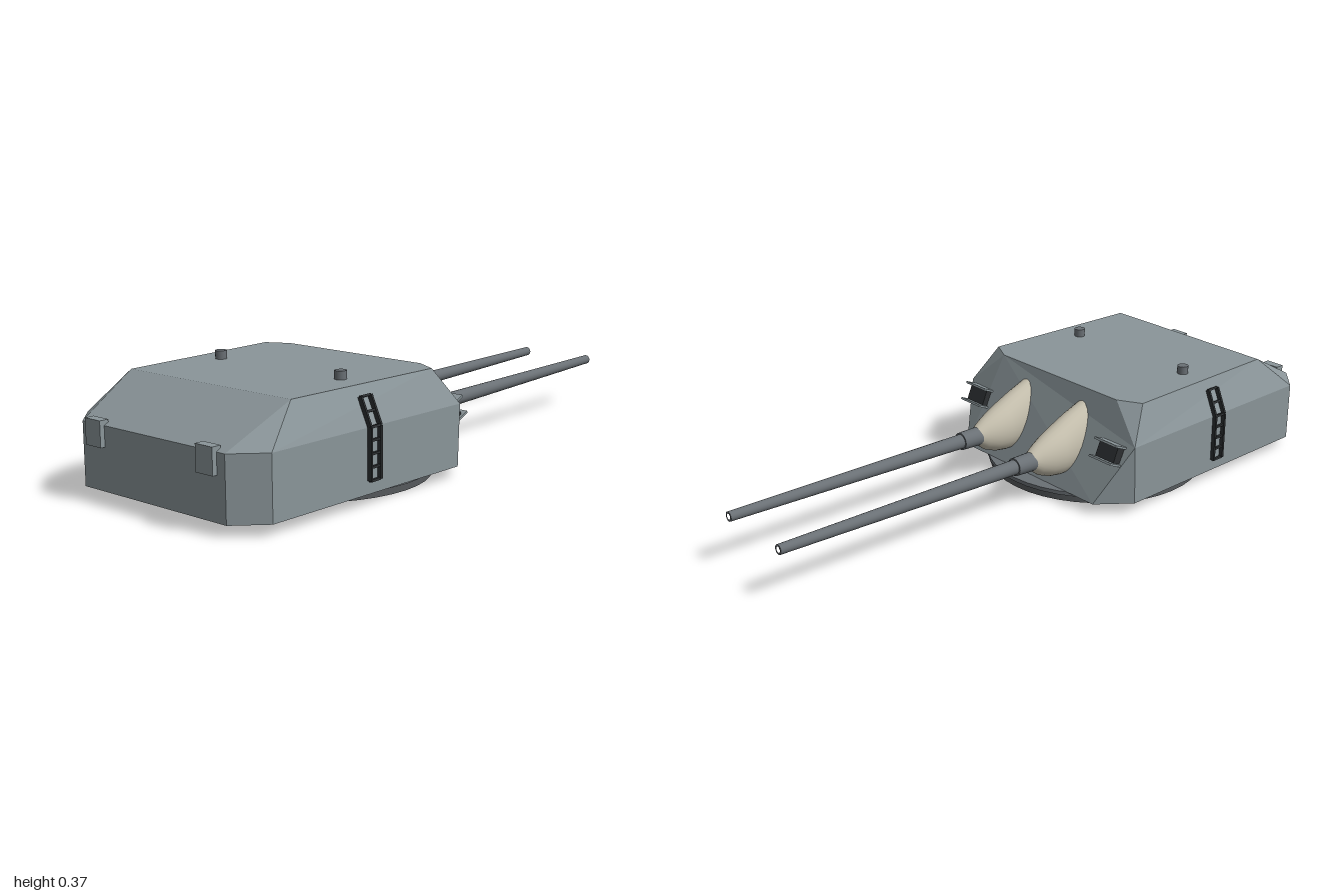
import * as THREE from 'three';

const mat = (color, extra = {}) => new THREE.MeshStandardMaterial({ color, ...extra });
const ARMOUR = mat(0x8a9599, { flatShading: true });
const STEEL = mat(0x6a7075);
const DARK = mat(0x2c2f31);
const CANVAS = mat(0xc8c2b0, { side: THREE.DoubleSide });

function add(parent, name, geometry, material, x = 0, y = 0, z = 0) {
  const mesh = new THREE.Mesh(geometry, material);
  mesh.name = name;
  mesh.position.set(x, y, z);
  parent.add(mesh);
  return mesh;
}

const box = (w, h, d) => new THREE.BoxGeometry(w, h, d);

// Faceted armoured house: corner points of the +x half, mirrored by faces
function houseGeometry() {
  const P = {
    A: [0.27, 0.34, 0.16], B: [0.345, 0.34, 0.2], C: [0.325, 0.34, 0.775],
    D: [0.392, 0.227, 0.122], E: [0.375, 0.227, 0.9], F: [0.29, 0.227, 0.985],
    G: [0.31, 0.035, 0.025], H: [0.392, 0.035, 0.13], I: [0.375, 0.035, 0.9], J: [0.29, 0.035, 0.985],
  };
  // lower case letters are the mirrored points
  const point = (k) => {
    const [x, y, z] = P[k.toUpperCase()];
    return k === k.toUpperCase() ? [x, y, z] : [-x, y, z];
  };
  const swap = (k) => (k === k.toUpperCase() ? k.toLowerCase() : k.toUpperCase());
  const sides = ['ABD', 'BCED', 'DEIH', 'CFE', 'EFJI', 'DHG'];
  const faces = [
    ...sides,
    ...sides.map((f) => [...f].reverse().map(swap).join('')),
    'ADGgda', 'abcCBA', 'CcfF', 'FfjJ', 'GHIJjihg',
  ];
  const pos = [];
  for (const f of faces)
    for (let i = 1; i < f.length - 1; i++)
      pos.push(...point(f[0]), ...point(f[i]), ...point(f[i + 1]));
  const g = new THREE.BufferGeometry();
  g.setAttribute('position', new THREE.Float32BufferAttribute(pos, 3));
  g.computeVertexNormals();
  return g;
}

// Blast bag: elliptical sections [z, half width, bottom, top]
function blastBagGeometry() {
  const sections = [
    [-0.078, 0.028, 0.122, 0.184], [-0.05, 0.039, 0.099, 0.204], [-0.01, 0.052, 0.083, 0.226],
    [0.03, 0.058, 0.077, 0.245], [0.09, 0.058, 0.077, 0.275], [0.16, 0.054, 0.08, 0.305],
  ];
  const n = 24, pos = [], index = [];
  sections.forEach(([z, w, lo, hi], s) => {
    for (let i = 0; i < n; i++) {
      const a = (i / n) * Math.PI * 2;
      pos.push(Math.cos(a) * w, (lo + hi) / 2 + (Math.sin(a) * (hi - lo)) / 2, z);
      if (s === 0) continue;
      const j = (i + 1) % n, p = (s - 1) * n, q = s * n;
      index.push(p + i, p + j, q + j, p + i, q + j, q + i);
    }
  });
  const g = new THREE.BufferGeometry();
  g.setAttribute('position', new THREE.Float32BufferAttribute(pos, 3));
  g.setIndex(index);
  g.computeVertexNormals();
  return g;
}

// Gun: thick sleeve, tapering barrel and bored muzzle
function makeGun(x) {
  const gun = new THREE.Group();
  gun.name = 'gun';
  const aim = new THREE.Group();
  aim.name = 'barrelAssembly';
  aim.position.set(x, 0.151, 0);
  aim.rotation.x = -Math.PI / 2 + 0.017;
  const sleeve = new THREE.CylinderGeometry(0.029, 0.031, 0.09, 20);
  add(aim, 'barrelSleeve', sleeve, STEEL, 0, 0.1, 0);
  add(aim, 'barrel', new THREE.CylinderGeometry(0.0155, 0.024, 0.86, 20, 1, true), STEEL, 0, 0.57, 0);
  const muzzle = add(aim, 'muzzleRing', new THREE.RingGeometry(0.009, 0.0155, 20), STEEL, 0, 1, 0);
  muzzle.rotation.x = -Math.PI / 2;
  const bore = add(aim, 'bore', new THREE.CircleGeometry(0.012, 16), DARK, 0, 0.99, 0);
  bore.rotation.x = -Math.PI / 2;
  gun.add(aim);
  add(gun, 'blastBag', blastBagGeometry(), CANVAS, x, 0, 0);
  return gun;
}

// Straight ladder run between two heights on the side wall
function makeLadderRun(side, from, to, rungs) {
  const run = new THREE.Group();
  run.name = 'ladderRun';
  const dx = to[0] - from[0], dy = to[1] - from[1], len = Math.hypot(dx, dy);
  run.position.set((side * (from[0] + to[0])) / 2, (from[1] + to[1]) / 2, 0.513);
  run.rotation.z = -side * Math.atan2(dx, dy);
  for (const z of [-0.021, 0.021]) add(run, 'ladderRail', box(0.014, len, 0.007), DARK, 0, 0, z);
  for (let i = 0; i < rungs; i++)
    add(run, 'ladderRung', box(0.008, 0.007, 0.042), DARK, 0, -len / 2 + (len * i) / (rungs - 1), 0);
  return run;
}

// Sight port: dark opening between two projecting plates
function makeSight(side) {
  const sight = new THREE.Group();
  sight.name = 'sightPort';
  sight.position.set(side * 0.315, 0.195, 0.094);
  sight.rotation.x = 0.415;
  add(sight, 'sightOpening', box(0.08, 0.05, 0.03), DARK, 0, 0, -0.004);
  for (const y of [-0.029, 0.029]) add(sight, 'sightPlate', box(0.095, 0.007, 0.05), ARMOUR, 0, y, -0.015);
  return sight;
}

export function createModel() {
  const model = new THREE.Group();
  model.name = 'gunTurret';

  // Turntable under the house
  const base = mat(0x55595c);
  add(model, 'turntable', new THREE.CylinderGeometry(0.36, 0.36, 0.024, 40), base, 0, 0.012, 0.337);
  add(model, 'turntableRim', new THREE.CylinderGeometry(0.367, 0.367, 0.013, 40), STEEL, 0, 0.029, 0.337);

  add(model, 'armouredHouse', houseGeometry(), ARMOUR);

  for (const side of [-1, 1]) {
    model.add(makeGun(side * 0.132));
    model.add(makeSight(side));

    // Ladder bent over the knuckle of the side wall
    const ladder = new THREE.Group();
    ladder.name = 'ladder';
    ladder.add(makeLadderRun(side, [0.393, 0.076], [0.393, 0.23], 5));
    ladder.add(makeLadderRun(side, [0.393, 0.23], [0.357, 0.311], 3));
    model.add(ladder);

    // Rear wall hatches and roof vents
    add(model, 'rearHatch', box(0.065, 0.078, 0.03), ARMOUR, side * 0.227, 0.204, 0.985);
    add(model, 'roofVent', new THREE.CylinderGeometry(0.018, 0.018, 0.036, 16), STEEL, side * 0.245, 0.348, 0.49);
  }
  return model;
}
